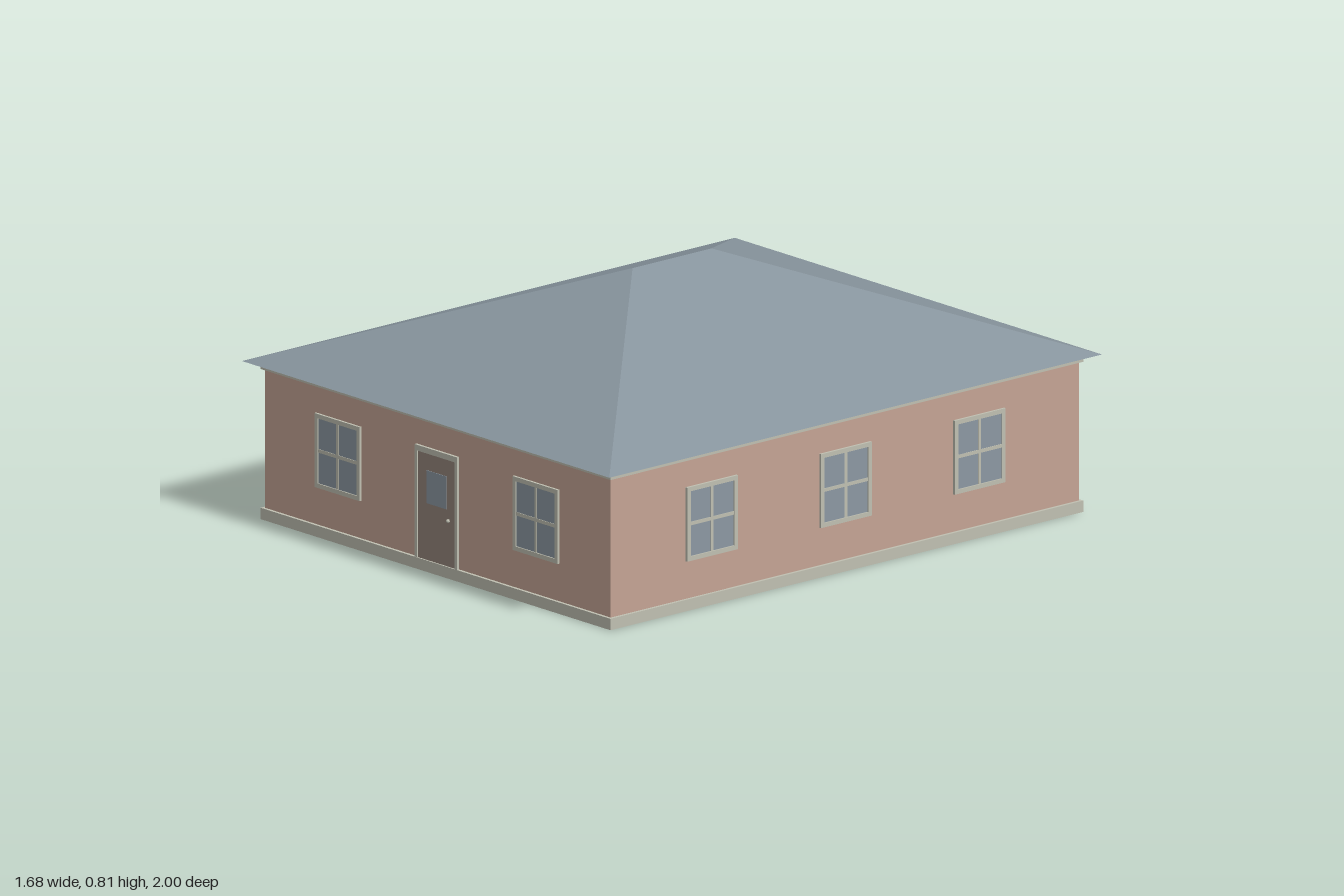
import * as THREE from 'three';

const mat = (name, color, extra = {}) => {
  const m = new THREE.MeshStandardMaterial({ color, ...extra });
  m.name = name;
  return m;
};

export function createModel() {
  const house = new THREE.Group();
  house.name = 'house';
  const wall = mat('wall clay', 0xc4a494);
  const trim = mat('pale trim', 0xc0c0b2);
  const glass = mat('window glass', 0x8c98a2);
  const wood = mat('door brown', 0x94857c);
  const slate = mat('roof slate', 0x87949d);

  const box = (parent, name, m, w, h, d, x, y, z) => {
    const mesh = new THREE.Mesh(new THREE.BoxGeometry(w, h, d), m);
    mesh.name = name;
    mesh.position.set(x, y, z);
    parent.add(mesh);
    return mesh;
  };

  // Body
  box(house, 'foundation', trim, 1.6, 0.036, 1.92, 0, 0.018, 0);
  box(house, 'walls', wall, 1.58, 0.46, 1.9, 0, 0.26, 0);
  box(house, 'eaveBand', trim, 1.6, 0.024, 1.92, 0, 0.487, 0);

  // Hipped roof, with a closed underside
  const X = 0.84, Z = 1, E = 0.499, R = 0.814, K = 0.16;
  const a = [-X, E, Z], b = [X, E, Z], c = [X, E, -Z], d = [-X, E, -Z];
  const f = [0, R, K], k = [0, R, -K];
  const faces = [[a, b, f], [c, d, k], [b, c, k], [b, k, f], [d, a, f], [d, f, k], [a, d, c], [a, c, b]];
  const roofGeo = new THREE.BufferGeometry();
  roofGeo.setAttribute('position', new THREE.Float32BufferAttribute(faces.flat(2), 3));
  roofGeo.computeVertexNormals();
  const roof = new THREE.Mesh(roofGeo, slate);
  roof.name = 'roof';
  house.add(roof);

  // Window with four panes, facing local +z with its back on the wall
  const makeWindow = () => {
    const g = new THREE.Group();
    g.name = 'window';
    const w = 0.206, h = 0.234, t = 0.014;
    box(g, 'pane', glass, w - t, h - t, 0.004, 0, 0, 0.002);
    for (const s of [-1, 1]) {
      box(g, 'frameSide', trim, t, h, 0.008, s * (w - t) / 2, 0, 0.004);
      box(g, 'frameRail', trim, w - 2 * t, t, 0.008, 0, s * (h - t) / 2, 0.004);
    }
    box(g, 'uprightBar', trim, 0.011, h - 2 * t, 0.006, 0, 0, 0.003);
    box(g, 'crossBar', trim, w - 2 * t, 0.011, 0.006, 0, 0, 0.003);
    return g;
  };

  // Windows on each wall: [turn, distance to wall, offsets along wall]
  const sides = [
    [0, 0.95, [-0.453, 0.453]],
    [Math.PI, 0.95, [-0.453, 0, 0.453]],
    [Math.PI / 2, 0.79, [-0.543, 0, 0.543]],
    [-Math.PI / 2, 0.79, [-0.543, 0, 0.543]],
  ];
  for (const [turn, dist, offsets] of sides) {
    const side = new THREE.Group();
    side.name = 'wallWindows';
    side.rotation.y = turn;
    for (const x of offsets) {
      const win = makeWindow();
      win.position.set(x, 0.272, dist);
      side.add(win);
    }
    house.add(side);
  }

  // Front door
  const door = new THREE.Group();
  door.name = 'frontDoor';
  door.position.z = 0.95;
  box(door, 'doorPanel', wood, 0.178, 0.337, 0.005, 0, 0.2045, 0.0025);
  for (const s of [-1, 1]) box(door, 'doorJamb', trim, 0.012, 0.356, 0.009, s * 0.091, 0.214, 0.0045);
  box(door, 'doorHead', trim, 0.17, 0.018, 0.009, 0, 0.383, 0.0045);
  box(door, 'doorGlass', glass, 0.09, 0.104, 0.003, 0, 0.268, 0.0055);
  const knob = new THREE.Mesh(new THREE.SphereGeometry(0.006, 12, 8), trim);
  knob.name = 'doorKnob';
  knob.position.set(0.055, 0.181, 0.008);
  door.add(knob);
  house.add(door);

  return house;
}
